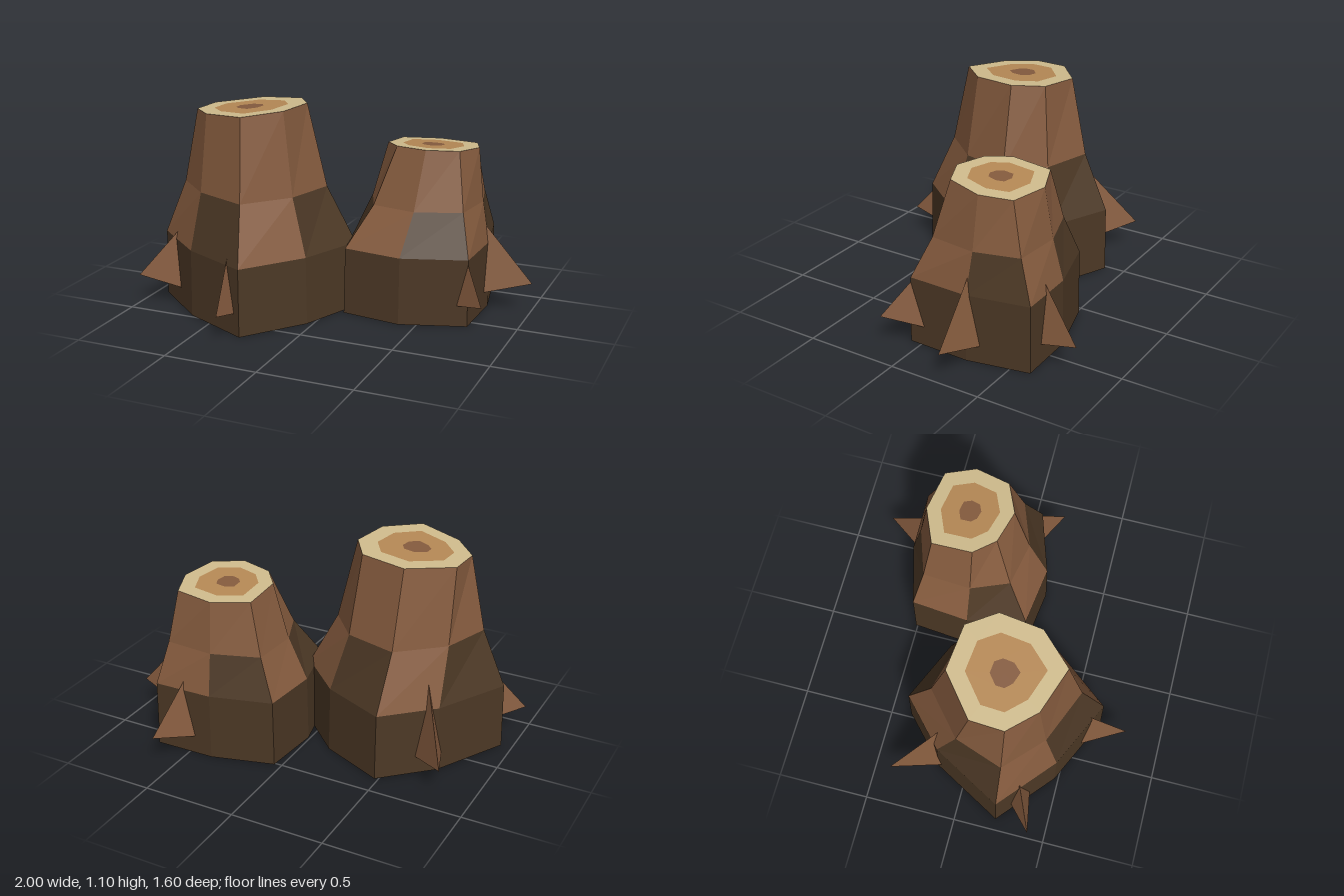
import * as THREE from 'three';

const mat = (name, color) =>
  new THREE.MeshStandardMaterial({ name, color, flatShading: true, side: THREE.DoubleSide });

// Outlines are [x, z] pairs, listed left > front > right > back
const STUMPS = [
  {
    name: 'tallStump', centre: [-0.45, 0.14], shoulderY: 0.66, narrowing: 0.6,
    topY: (x, z) => 1.06 + 0.075 * (x + 0.72),
    base: [[-0.94, 0.22], [-0.64, 0.48], [-0.27, 0.655], [-0.03, 0.35], [0.11, 0], [-0.14, -0.24], [-0.48, -0.39], [-0.73, -0.16]],
    top: [[-0.72, 0.21], [-0.59, 0.35], [-0.35, 0.435], [-0.19, 0.27], [-0.16, 0.04], [-0.26, -0.11], [-0.5, -0.14], [-0.71, 0.03]],
    roots: [[-1, 0.41], [-0.32, 0.8], [-0.835, -0.4]],
  },
  {
    name: 'shortStump', centre: [0.43, -0.27], shoulderY: 0.58, narrowing: 0.55,
    topY: (x, z) => 0.89 + 0.09 * (z + 0.04),
    base: [[0.085, 0.13], [0.41, 0.175], [0.75, 0.065], [0.76, -0.275], [0.695, -0.605], [0.37, -0.6], [0.04, -0.51], [0.01, -0.19]],
    top: [[0.295, -0.09], [0.47, -0.04], [0.63, -0.11], [0.68, -0.3], [0.62, -0.46], [0.4, -0.5], [0.21, -0.42], [0.205, -0.2]],
    roots: [[1, -0.28], [0.855, 0.175], [0.595, -0.8]],
  },
];

function meshFromTriangles(name, points, material) {
  const geometry = new THREE.BufferGeometry().setFromPoints(points);
  geometry.computeVertexNormals();
  const mesh = new THREE.Mesh(geometry, material);
  mesh.name = name;
  return mesh;
}

// Side faces between two rings; keep(i) picks which sides are made
function band(name, lower, upper, material, keep = () => true) {
  const points = [];
  lower.forEach((a, i) => {
    if (!keep(i)) return;
    const j = (i + 1) % lower.length;
    points.push(a, lower[j], upper[j], a, upper[j], upper[i]);
  });
  return meshFromTriangles(name, points, material);
}

// Pointed root: three-sided spike from a tip, widening in through the bark
function root(tip, centre, material) {
  const apex = new THREE.Vector3(tip[0], 0.155, tip[1]);
  const inward = new THREE.Vector3(centre[0] - tip[0], 0, centre[1] - tip[1]).normalize();
  const side = new THREE.Vector3(-inward.z, 0, inward.x);
  const reach = 0.34;
  const corner = (up, across) => apex.clone()
    .addScaledVector(inward, reach)
    .addScaledVector(side, across * reach)
    .add(new THREE.Vector3(0, up * reach, 0));
  const crest = corner(1.13, 0), a = corner(-0.24, 0.28), b = corner(-0.24, -0.28);
  return meshFromTriangles('root', [apex, crest, a, apex, b, crest, apex, a, b, crest, b, a], material);
}

function stump(spec, m) {
  const group = new THREE.Group();
  group.name = spec.name;
  const [cx, cz] = spec.centre;

  // Rings from the ground to the cut
  const ground = spec.base.map(([x, z]) => new THREE.Vector3(x, 0, z));
  const collar = spec.base.map(([x, z]) =>
    new THREE.Vector3(cx + (x - cx) * 0.985, 0.36, cz + (z - cz) * 0.985));
  const rim = spec.top.map(([x, z]) => new THREE.Vector3(x, spec.topY(x, z), z));
  const shoulder = collar.map((p, i) => p.clone().lerp(rim[i], spec.narrowing).setY(spec.shoulderY));

  // Bark: dark foot, alternating middle, light trunk
  group.add(
    band('foot', ground, collar, m.darkBark),
    band('lightBarkTongues', collar, shoulder, m.bark, (i) => i % 2 === 0),
    band('darkBarkTongues', collar, shoulder, m.darkBark, (i) => i % 2 === 1),
    band('trunk', shoulder, rim, m.bark),
  );

  // Growth rings on the cut face
  const middle = new THREE.Vector3(cx, spec.topY(cx, cz), cz);
  const inset = (s) => rim.map((p) => middle.clone().lerp(p, s));
  const outer = inset(0.67), inner = inset(0.25);
  group.add(
    band('sapwoodRing', rim, outer, m.sapwood),
    band('heartwoodRing', outer, inner, m.heartwood),
    meshFromTriangles('core', inner.flatMap((p, i) => [p, inner[(i + 1) % inner.length], middle]), m.bark),
  );

  spec.roots.forEach((tip) => group.add(root(tip, spec.centre, m.bark)));
  return group;
}

export function createModel() {
  const materials = {
    bark: mat('bark', 0x855b3e),
    darkBark: mat('darkBark', 0x4c3825),
    sapwood: mat('sapwood', 0xd0bc8d),
    heartwood: mat('heartwood', 0xb68955),
  };
  const model = new THREE.Group();
  model.name = 'treeStumps';
  STUMPS.forEach((spec) => model.add(stump(spec, materials)));
  return model;
}
